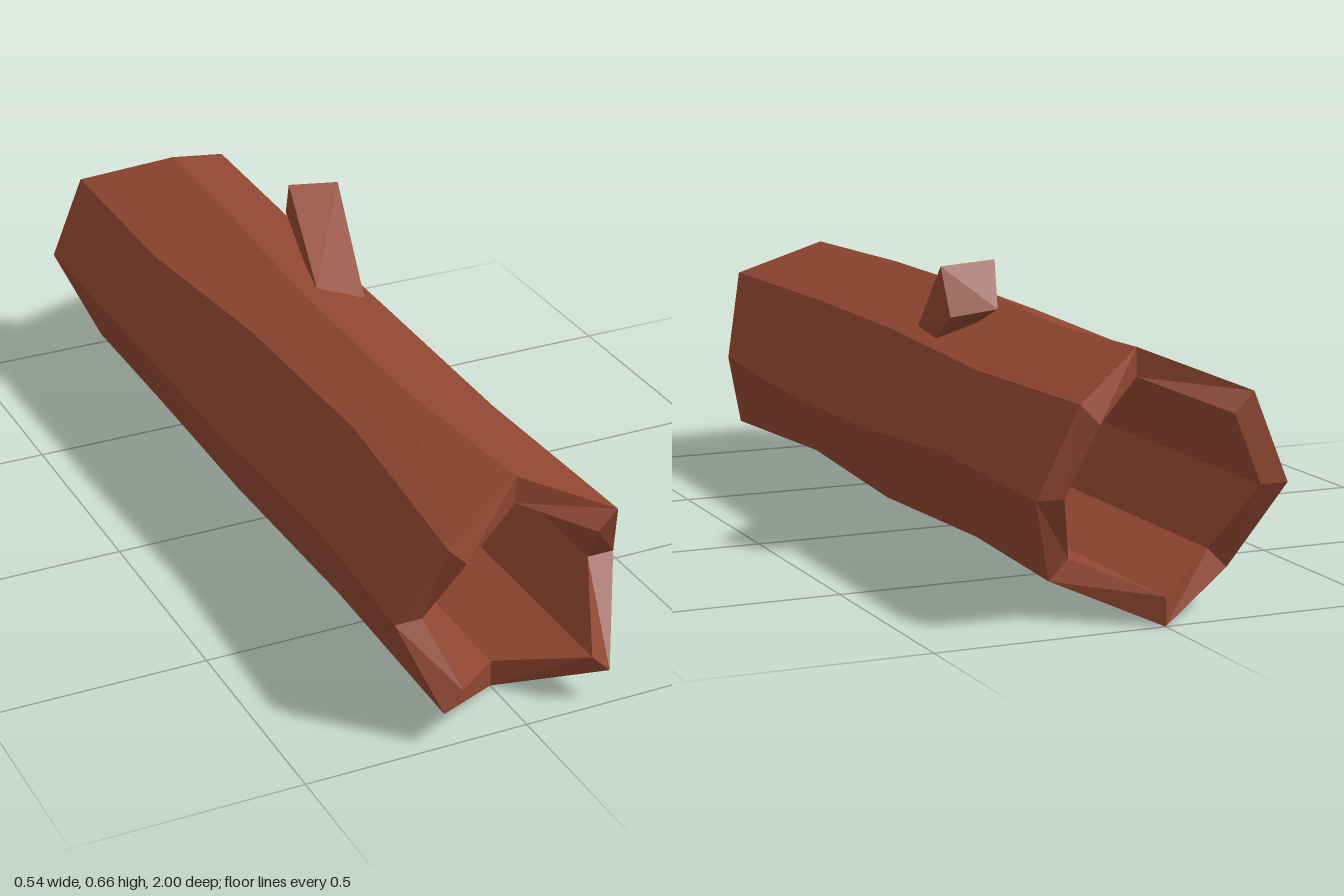
import * as THREE from 'three';

const bark = new THREE.MeshStandardMaterial({ color: 0x8f4630, flatShading: true });
bark.name = 'bark brown';

const SIDES = 8, CENTRE_Y = 0.271;

// Joins a series of equal-length point loops into a skin
function skin(loops, caps = false) {
  const pos = [];
  const tri = (...p) => p.forEach(v => pos.push(...v));
  for (let k = 0; k < loops.length - 1; k++) {
    const f = loops[k], g = loops[k + 1], n = f.length;
    for (let i = 0; i < n; i++) {
      const j = (i + 1) % n;
      tri(f[i], f[j], g[j]);
      tri(f[i], g[j], g[i]);
    }
  }
  if (caps) {
    const a = loops[0], b = loops[loops.length - 1];
    for (let i = 1; i < a.length - 1; i++) {
      tri(a[0], a[i + 1], a[i]);
      tri(b[0], b[i], b[i + 1]);
    }
  }
  const geo = new THREE.BufferGeometry();
  geo.setAttribute('position', new THREE.Float32BufferAttribute(pos, 3));
  geo.computeVertexNormals();
  return geo;
}

// Octagon starting at the top and running towards +x, with a depth per corner
function octagon(radius, depth, shift = []) {
  return Array.from({ length: SIDES }, (_, i) => {
    const a = i / SIDES * Math.PI * 2;
    const [dx, dy] = shift[i] || [0, 0];
    const z = Array.isArray(depth) ? depth[i] : depth;
    return [Math.sin(a) * radius + dx, CENTRE_Y + Math.cos(a) * radius + dy, z];
  });
}

export function createModel() {
  const group = new THREE.Group();
  group.name = 'hollowLog';

  // Broken ends: z of each corner
  const frontEnd = [0.92, 1, 0.86, 1, 0.84, 1, 0.93, 1];
  const backEnd = [-0.86, -1, -0.97, -0.86, -1, -0.895, -1, -1];

  // Small x, y shifts that make the bark uneven along the log
  const nearShift = [[-0.035, 0], [-0.02, 0], [-0.02, -0.03], [-0.01, 0.02], [0, 0.02], [0, 0.01], [0.02, 0], [0.035, 0.02]];
  const midShift = [[-0.035, 0], [-0.015, 0], [-0.015, -0.025], [0, 0], [0, 0], [-0.015, 0.015], [0, 0], [0.02, 0.025]];
  const farShift = [[0, -0.01], [0, -0.012], [0.003, 0.014], [0, 0.015], [0, 0.01], [0, 0], [0, 0], [-0.004, 0]];

  // Trunk: outside, back rim, inside, front rim
  const R = 0.271, r = 0.21;
  const trunk = new THREE.Mesh(skin([
    octagon(R, frontEnd),
    octagon(R, 0.5, nearShift),
    octagon(R, 0, midShift),
    octagon(R, -0.5, farShift),
    octagon(R, backEnd),
    octagon(r, backEnd),
    octagon(r, frontEnd),
    octagon(R, frontEnd),
  ]), bark);
  trunk.name = 'trunk';
  group.add(trunk);

  // Branch stub leaning backwards out of the trunk
  const branch = new THREE.Mesh(skin([
    [[0.02, 0.527, -0.06], [0.14, 0.478, -0.06], [0.15, 0.465, -0.18], [0.06, 0.49, -0.18]],
    [[0.08, 0.658, -0.342], [0.2, 0.648, -0.33], [0.2, 0.545, -0.383], [0.1, 0.56, -0.404]],
  ].map(loop => loop.slice().reverse()).reverse(), true), bark);
  branch.name = 'branchStub';
  group.add(branch);

  return group;
}
